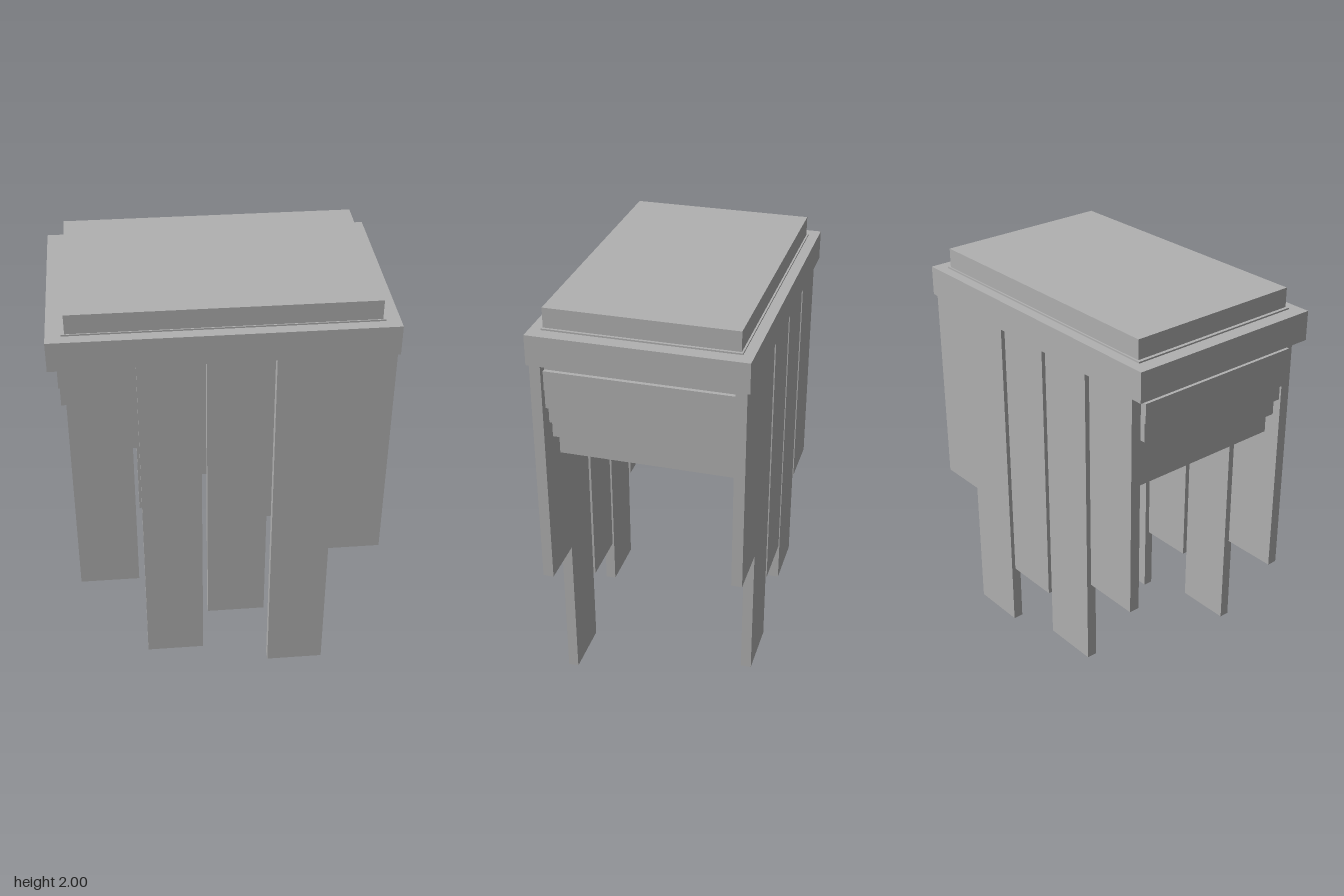
import * as THREE from 'three';

export function createModel() {
  const model = new THREE.Group();
  const grey = new THREE.MeshStandardMaterial({ color: 0xb0b0b0 });
  grey.name = 'plain grey';

  // box given by its limits on each axis
  function addBox(name, [x0, x1], [y0, y1], [z0, z1]) {
    const mesh = new THREE.Mesh(new THREE.BoxGeometry(x1 - x0, y1 - y0, z1 - z0), grey);
    mesh.position.set((x0 + x1) / 2, (y0 + y1) / 2, (z0 + z1) / 2);
    mesh.name = name;
    model.add(mesh);
  }

  // lid, its thin base and the projecting rim
  addBox('lid', [-0.655, 0.655], [1.91, 2], [-0.415, 0.415]);
  addBox('lidBase', [-0.67, 0.667], [1.9, 1.912], [-0.423, 0.42]);
  addBox('rim', [-0.735, 0.73], [1.77, 1.905], [-0.47, 0.47]);

  // stepped core: bottom, top, half width, half depth
  const steps = [
    [1.735, 1.78, 0.68, 0.41],
    [1.645, 1.735, 0.698, 0.41],
    [1.56, 1.645, 0.692, 0.41],
    [1.475, 1.56, 0.66, 0.41],
    [1.39, 1.475, 0.63, 0.41],
    [1.3, 1.39, 0.607, 0.39],
  ];
  steps.forEach(([y0, y1, w, d], i) =>
    addBox('coreStep' + (i + 1), [-w, w], [y0, y1], [-d, d]));

  // hanging planks of uneven length, front and back
  const plankX = [-0.668, -0.372, -0.08, 0.215, 0.452];
  const frontEnds = [0.595, 0.12, 0.355, 0, 0.71];
  const backEnds = [0.727, 0.3, 0.505, 0.19, 0.827];
  plankX.forEach((x, i) => {
    addBox('frontPlank' + (i + 1), [x, x + 0.268], [frontEnds[i], 1.78], [0.412, 0.46]);
    addBox('backPlank' + (i + 1), [x, x + 0.268], [backEnds[i], 1.78], [-0.457, -0.409]);
  });

  return model;
}
